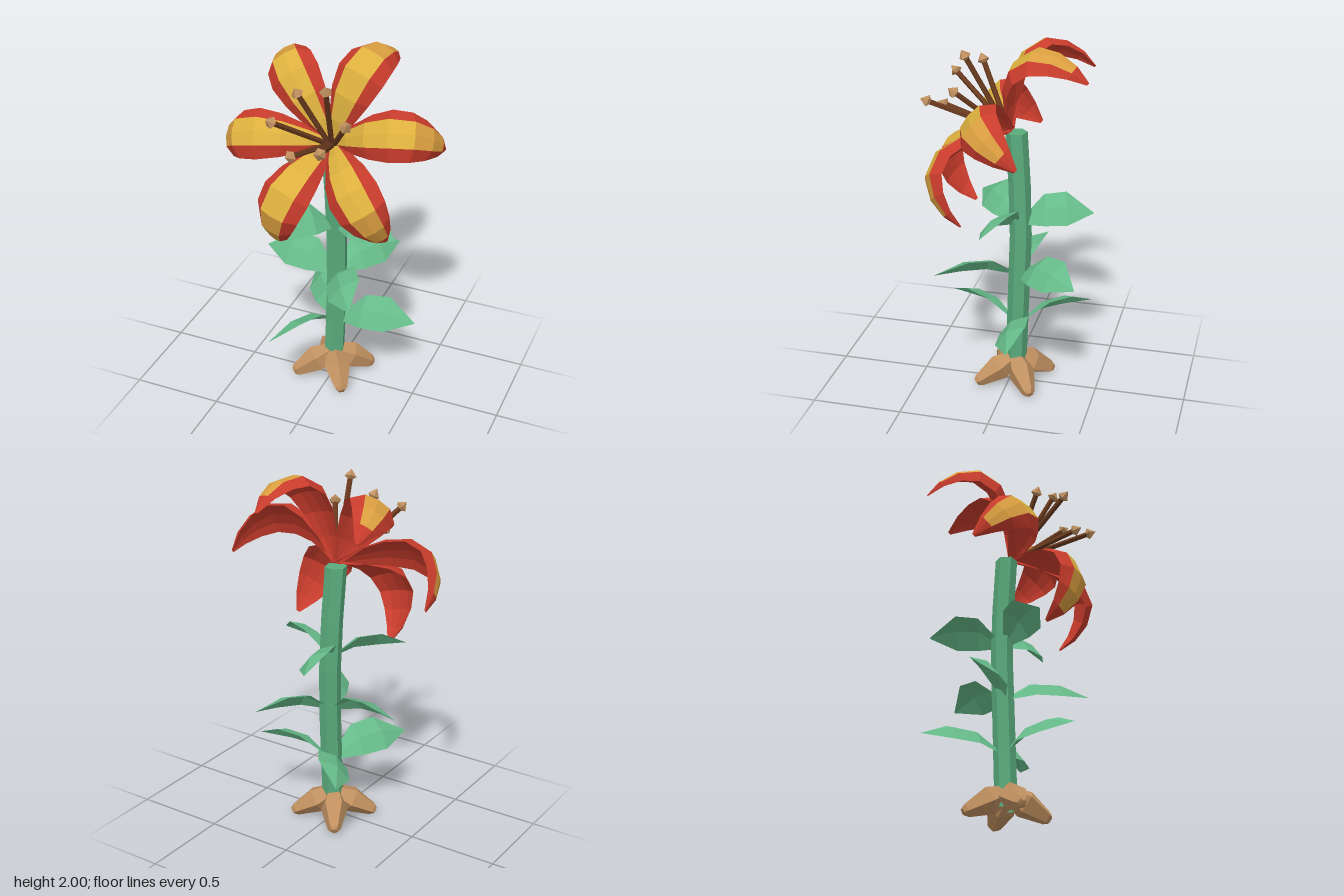
import * as THREE from 'three';

const mat = (name, color, side = THREE.FrontSide) => {
  const m = new THREE.MeshStandardMaterial({ color, side });
  m.name = name;
  return m;
};

// Faceted copy of a geometry
function facet(geo) {
  const g = geo.index ? geo.toNonIndexed() : geo;
  g.computeVertexNormals();
  return g;
}

// Faceted surface over a grid of points, keeping the cells picked by a filter
function gridGeometry(grid, keep = () => true, flip = false) {
  const pos = [];
  for (let i = 0; i < grid.length - 1; i++) {
    for (let j = 0; j < grid[i].length - 1; j++) {
      if (!keep(i, j)) continue;
      const a = grid[i][j], b = grid[i][j + 1], c = grid[i + 1][j + 1], d = grid[i + 1][j];
      for (const p of flip ? [a, c, b, a, d, c] : [a, b, c, a, c, d]) pos.push(...p);
    }
  }
  const g = new THREE.BufferGeometry();
  g.setAttribute('position', new THREE.Float32BufferAttribute(pos, 3));
  g.computeVertexNormals();
  return g;
}

const lathe = (points, sides) =>
  facet(new THREE.LatheGeometry(points.map(([r, y]) => new THREE.Vector2(r, y)), sides));

export function createModel() {
  const leafGreen = mat('leaf green', 0x66ba89, THREE.DoubleSide);
  const stemGreen = mat('stem green', 0x59ab7d, THREE.DoubleSide);
  const red = mat('petal red', 0xc93c2c);
  const yellow = mat('petal yellow', 0xdcb03e);
  const amber = mat('petal amber', 0xdb9f40);
  const darkBrown = mat('filament brown', 0x6a3a1e);
  const tan = mat('root tan', 0xc09060);

  const model = new THREE.Group();
  const add = (parent, name, geo, material) => {
    const m = new THREE.Mesh(geo, material);
    m.name = name;
    parent.add(m);
    return m;
  };
  const up = new THREE.Vector3(0, 1, 0);
  // Place an object modelled along +y from 0 so it starts at a and points to b
  const aim = (object, a, b) => {
    object.position.copy(a);
    object.quaternion.setFromUnitVectors(up, b.clone().sub(a).normalize());
  };

  // Stem: gently bowed six-sided tube
  const path = new THREE.CatmullRomCurve3([
    new THREE.Vector3(0, 0.06, -0.035), new THREE.Vector3(0.008, 0.55, -0.052),
    new THREE.Vector3(0.002, 1.0, -0.062), new THREE.Vector3(-0.015, 1.5, -0.032),
  ]);
  const ringGrid = [];
  for (let i = 0; i <= 5; i++) {
    const p = path.getPoint(i / 5), ring = [];
    for (let j = 0; j <= 6; j++) {
      const a = -j * Math.PI / 3 + 0.3;
      ring.push([p.x + 0.06 * Math.cos(a), p.y, p.z + 0.06 * Math.sin(a)]);
    }
    ringGrid.push(ring);
  }
  add(model, 'stem', gridGeometry(ringGrid), stemGreen);
  const cap = add(model, 'stemTop', new THREE.CircleGeometry(0.06, 6), stemGreen);
  cap.rotation.set(-Math.PI / 2, 0, -0.3);
  cap.position.set(-0.015, 1.5, -0.032);

  // Roots: four tapering tubers splayed around the stem
  const tuber = lathe([[0, -0.035], [0.05, 0.01], [0.078, 0.095], [0.038, 0.23], [0.022, 0.25], [0, 0.252]], 5);
  for (let k = 0; k < 4; k++) {
    const a = THREE.MathUtils.degToRad(56 + 90 * k), c = Math.cos(a), s = Math.sin(a);
    const root = add(model, 'root', tuber, tan);
    aim(root, new THREE.Vector3(0.015 * c, 0.142, -0.03 + 0.015 * s),
      new THREE.Vector3(0.23 * c, 0.025, -0.03 + 0.23 * s));
  }

  // Leaves: ridged blades rolled to one side; rows are reach, height, half width
  const reach = 0.465;
  const leafGrid = [[0.03, -0.025, 0.025], [0.16, 0.038, 0.1], [0.3, 0.046, 0.106], [reach, 0.02, 0.002]]
    .map(([r, y, w]) => [-1, 0, 1].map((s) => {
      const x = s * w, n = s === 0 ? 0.28 * w : 0;
      return [x * 0.79 + n * 0.61, y - x * 0.61 + n * 0.79, -r];
    }));
  const leafGeo = gridGeometry(leafGrid);
  // Each tier: height, then tip offset and roll of every leaf
  const tiers = [
    [0.4, [[0.46, -0.04, 1], [-0.22, 0.435, 1], [-0.275, -0.365, -1]]],
    [0.71, [[-0.435, -0.04, -1], [0.245, -0.36, 1], [0.24, 0.41, 1]]],
    [1.02, [[-0.1, -0.395, 1], [0.382, 0.118, 1], [-0.3, 0.28, -1]]],
  ];
  for (const [y, tips] of tiers) {
    for (const [dx, dz, roll] of tips) {
      const leaf = add(model, 'leaf', leafGeo, leafGreen);
      leaf.position.set(0.005, y, -0.05);
      leaf.rotation.y = Math.atan2(-dx, -dz);
      leaf.scale.set(roll, 1, Math.hypot(dx, dz) / reach);
    }
  }

  // Flower head, tipped forward
  const flower = new THREE.Group();
  flower.name = 'flower';
  flower.position.set(0, 1.52, 0);
  flower.rotation.x = THREE.MathUtils.degToRad(51);
  model.add(flower);

  // Petals: arched front and flatter back swept along a recurving profile of reach, height, half width
  const profile = [
    [0.0, -0.01, 0.02], [0.1, 0.09, 0.075], [0.22, 0.174, 0.117], [0.36, 0.216, 0.138],
    [0.495, 0.176, 0.13], [0.568, 0.075, 0.104], [0.592, -0.035, 0.064], [0.58, -0.135, 0.012],
  ];
  const sweep = (section) => profile.map(([r, h, w], i) => {
    const p = profile[Math.max(i - 1, 0)], q = profile[Math.min(i + 1, profile.length - 1)];
    const len = Math.hypot(q[0] - p[0], q[1] - p[1]);
    const nr = -(q[1] - p[1]) / len, nh = (q[0] - p[0]) / len;
    return section.map(([s, d]) => [s * w, h + w * d * nh, -(r + w * d * nr)]);
  });
  const front = sweep([[-1, -0.5], [-0.55, -0.08], [0, 0], [0.55, -0.08], [1, -0.5]]);
  const back = sweep([[-1, -0.5], [-0.55, -0.33], [0, -0.27], [0.55, -0.33], [1, -0.5]]);
  const isStripe = (i, j) => (j === 1 || j === 2) && i < profile.length - 2;
  const petalParts = [
    ['petalStripe', gridGeometry(front, (i, j) => isStripe(i, j) && i < 4), yellow],
    ['petalStripeEnd', gridGeometry(front, (i, j) => isStripe(i, j) && i >= 4), amber],
    ['petalMargin', gridGeometry(front, (i, j) => !isStripe(i, j)), red],
    ['petalBack', gridGeometry(back, undefined, true), red],
  ];
  for (const angle of [19, 80, 139, 199, 261, 320]) {
    const petal = new THREE.Group();
    petal.name = 'petal';
    petal.rotation.y = -THREE.MathUtils.degToRad(angle);
    for (const part of petalParts) add(petal, ...part);
    flower.add(petal);
  }

  // Stamens: a thin filament from the flower's heart to a pointed anther
  const anther = lathe([[0, -0.026], [0.034, 0], [0, 0.042]], 5);
  const heart = new THREE.Vector3(0, 1.51, 0.01);
  const tips = [
    [0.062, 1.915, 0.222], [-0.115, 1.85, 0.172], [0.178, 1.757, 0.25],
    [-0.183, 1.757, 0.342], [0.112, 1.675, 0.415], [-0.066, 1.605, 0.375],
  ];
  for (const t of tips) {
    const tip = new THREE.Vector3(...t);
    const root = heart.clone().lerp(tip, 0.04).setX(tip.x * 0.12);
    const length = root.distanceTo(tip);
    const stamen = new THREE.Group();
    stamen.name = 'stamen';
    add(stamen, 'filament', facet(new THREE.CylinderGeometry(0.015, 0.015, length, 5)), darkBrown)
      .position.y = length / 2;
    add(stamen, 'anther', anther, tan).position.y = length;
    aim(stamen, root, tip);
    model.add(stamen);
  }
  return model;
}
